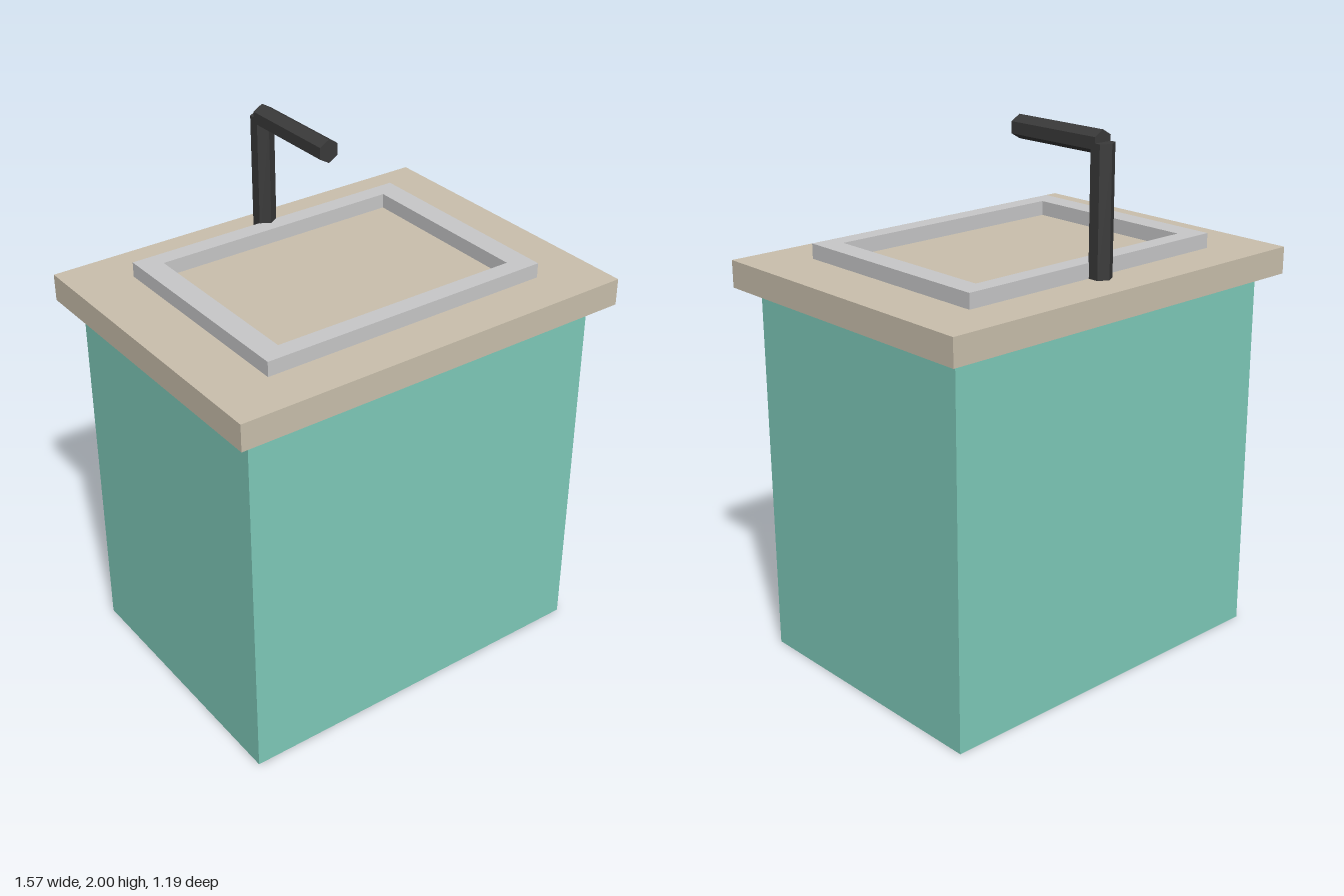
import * as THREE from 'three';

export function createModel() {
  const model = new THREE.Group();
  model.name = 'sinkCabinet';

  const paint = (name, color) => {
    const m = new THREE.MeshStandardMaterial({ color });
    m.name = name;
    return m;
  };
  const teal = paint('teal', 0x7fcbba);
  const stone = paint('stone', 0xcac0ad);
  const steel = paint('steel', 0xc8c8c9);
  const black = paint('black', 0x3a3a3a);

  const add = (name, geometry, material, x, y, z, parent = model) => {
    const mesh = new THREE.Mesh(geometry, material);
    mesh.name = name;
    mesh.position.set(x, y, z);
    parent.add(mesh);
    return mesh;
  };

  // Cabinet body and overhanging worktop
  add('cabinet', new THREE.BoxGeometry(1.434, 1.4, 1.046), teal, 0, 0.7, 0);
  add('countertop', new THREE.BoxGeometry(1.57, 0.1, 1.19), stone, 0, 1.45, 0);

  // Rectangular basin rim, open in the middle
  const rectangle = (path, w, d) => path
    .moveTo(-w, -d).lineTo(w, -d).lineTo(w, d).lineTo(-w, d).closePath();
  const outline = rectangle(new THREE.Shape(), 0.566, 0.418);
  outline.holes.push(rectangle(new THREE.Path(), 0.481, 0.351));
  const rim = new THREE.ExtrudeGeometry(outline, { depth: 0.055, bevelEnabled: false });
  rim.rotateX(-Math.PI / 2);
  add('basinRim', rim, steel, 0, 1.5, 0);

  // Faucet: two faceted six-sided bars, upright and reaching forward
  const hexBar = (length) => {
    const g = new THREE.CylinderGeometry(0.042, 0.042, length, 6).toNonIndexed();
    g.computeVertexNormals();
    return g;
  };
  const faucet = new THREE.Group();
  faucet.name = 'faucet';
  model.add(faucet);
  add('faucetColumn', hexBar(0.458), black, 0, 1.729, -0.437, faucet);
  add('faucetSpout', hexBar(0.4).rotateX(Math.PI / 2), black, 0, 1.958, -0.236, faucet);

  return model;
}
